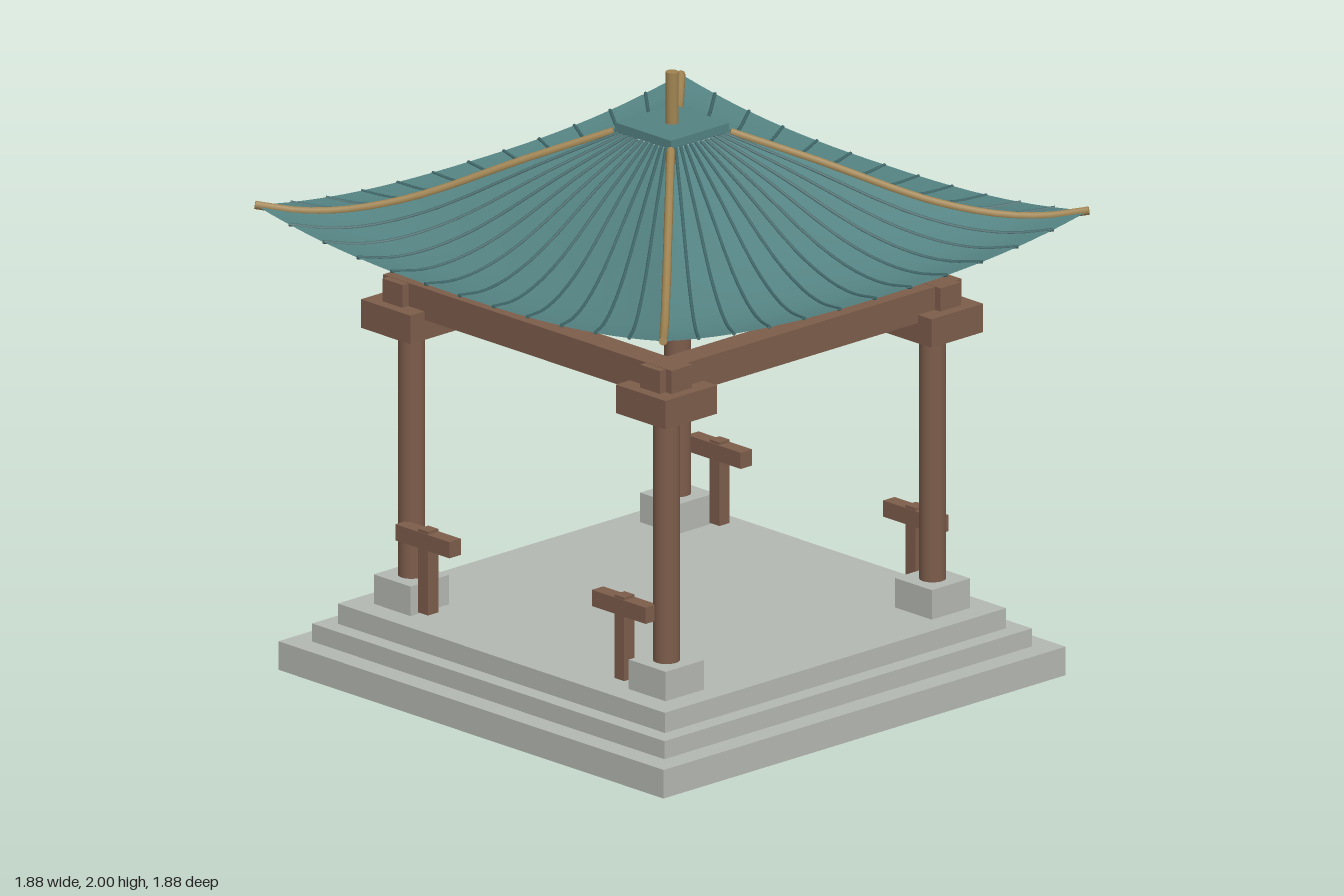
import * as THREE from 'three';

const material = (color) => new THREE.MeshStandardMaterial({ color, roughness: 0.8 });
const stone = material(0xb4b8b1);
const wood = material(0x7d5d4b);
const tile = material(0x548282);
tile.side = THREE.DoubleSide;
const ribTile = material(0x3f6668);
const brass = material(0xa08452);

// Hip line of the roof: distance from the axis, height
const hipCurve = new THREE.CatmullRomCurve3([
  [0.13, 1.8], [0.33, 1.703], [0.57, 1.578], [0.72, 1.533], [0.83, 1.527], [0.93, 1.547],
].map(([d, y]) => new THREE.Vector3(d, y, 0)));

// Point on the front roof slope: s runs -1..1 between the hips, u runs 0..1 down the slope
function roofPoint(s, u) {
  const { x: d, y } = hipCurve.getPoint(u);
  const sag = 0.075 * ((d - 0.13) / 0.8) * (1 - Math.abs(s) ** 2.5);
  return new THREE.Vector3(s * d, y - sag, d);
}

function roofSlope(rows = 15, cols = 24) {
  const positions = [], indices = [];
  for (let i = 0; i <= rows; i++) {
    for (let j = 0; j <= cols; j++) {
      positions.push(...roofPoint((j / cols) * 2 - 1, i / rows).toArray());
      if (i < rows && j < cols) {
        const a = i * (cols + 1) + j, c = a + cols + 1;
        indices.push(a, c, a + 1, a + 1, c, c + 1);
      }
    }
  }
  const geometry = new THREE.BufferGeometry();
  geometry.setAttribute('position', new THREE.Float32BufferAttribute(positions, 3));
  geometry.setIndex(indices);
  geometry.computeVertexNormals();
  return geometry;
}

// Round bar following the slope at a fixed s, closed at both ends
function roofBar(s, radius, sides) {
  const points = Array.from({ length: 16 }, (_, i) => roofPoint(s, i / 15));
  const curve = new THREE.CatmullRomCurve3(points);
  const bar = new THREE.Group();
  const mat = Math.abs(s) === 1 ? brass : ribTile;
  bar.add(new THREE.Mesh(new THREE.TubeGeometry(curve, 20, radius, sides), mat));
  for (const end of [0, 1]) {
    const cap = new THREE.Mesh(new THREE.CircleGeometry(radius, sides), mat);
    const point = curve.getPoint(end);
    cap.position.copy(point);
    cap.lookAt(point.clone().addScaledVector(curve.getTangent(end), end ? 1 : -1));
    bar.add(cap);
  }
  return bar;
}

export function createModel() {
  const model = new THREE.Group();
  model.name = 'pavilion';

  function add(name, geometry, mat, x = 0, y = 0, z = 0, parent = model) {
    const mesh = new THREE.Mesh(geometry, mat);
    mesh.name = name;
    mesh.position.set(x, y, z);
    parent.add(mesh);
    return mesh;
  }
  // Box given by its bottom and top heights
  const block = (name, w, bottom, top, d, mat, x = 0, z = 0) =>
    add(name, new THREE.BoxGeometry(w, top - bottom, d), mat, x, (bottom + top) / 2, z);

  // Stepped platform
  block('lowerStep', 1.755, 0, 0.095, 1.755, stone);
  block('middleStep', 1.605, 0.095, 0.155, 1.605, stone);
  block('upperStep', 1.49, 0.155, 0.222, 1.49, stone);

  // Corner supports and short railings
  for (const sx of [-1, 1]) {
    for (const sz of [-1, 1]) {
      const x = sx * 0.581, z = sz * 0.581;
      block('columnBase', 0.168, 0.222, 0.32, 0.168, stone, x, z);
      add('column', new THREE.CylinderGeometry(0.043, 0.043, 0.83, 16), wood, x, 0.73, z);
      block('capital', 0.225, 1.14, 1.235, 0.225, wood, x, z);
      block('railPost', 0.045, 0.24, 0.518, 0.045, wood, sx * 0.447, sz * 0.636);
      block('rail', 0.245, 0.455, 0.509, 0.05, wood, sx * 0.447, sz * 0.636);
    }
  }

  // Beams crossing at the corners
  for (const side of [-1, 1]) {
    block('crossBeam', 1.316, 1.207, 1.312, 0.09, wood, 0, side * 0.587);
    block('sideBeam', 0.09, 1.208, 1.311, 1.316, wood, side * 0.587, 0);
  }

  // Four curved slopes, each with ribs and one hip ridge
  const slopeGeometry = roofSlope();
  for (let k = 0; k < 4; k++) {
    const slope = new THREE.Group();
    slope.name = 'roofSide';
    slope.rotation.y = (k * Math.PI) / 2;
    add('roofSlope', slopeGeometry, tile, 0, 0, 0, slope);
    for (let i = -5; i <= 5; i++) {
      const rib = roofBar(i / 6, 0.006, 6);
      rib.name = 'roofRib';
      slope.add(rib);
    }
    const ridge = roofBar(1, 0.014, 8);
    ridge.name = 'hipRidge';
    slope.add(ridge);
    model.add(slope);
  }

  // Cap plate and finial
  block('roofCap', 0.255, 1.8, 1.83, 0.255, tile);
  add('finial', new THREE.CylinderGeometry(0.021, 0.021, 0.17, 12), brass, 0, 1.915, 0);

  return model;
}
